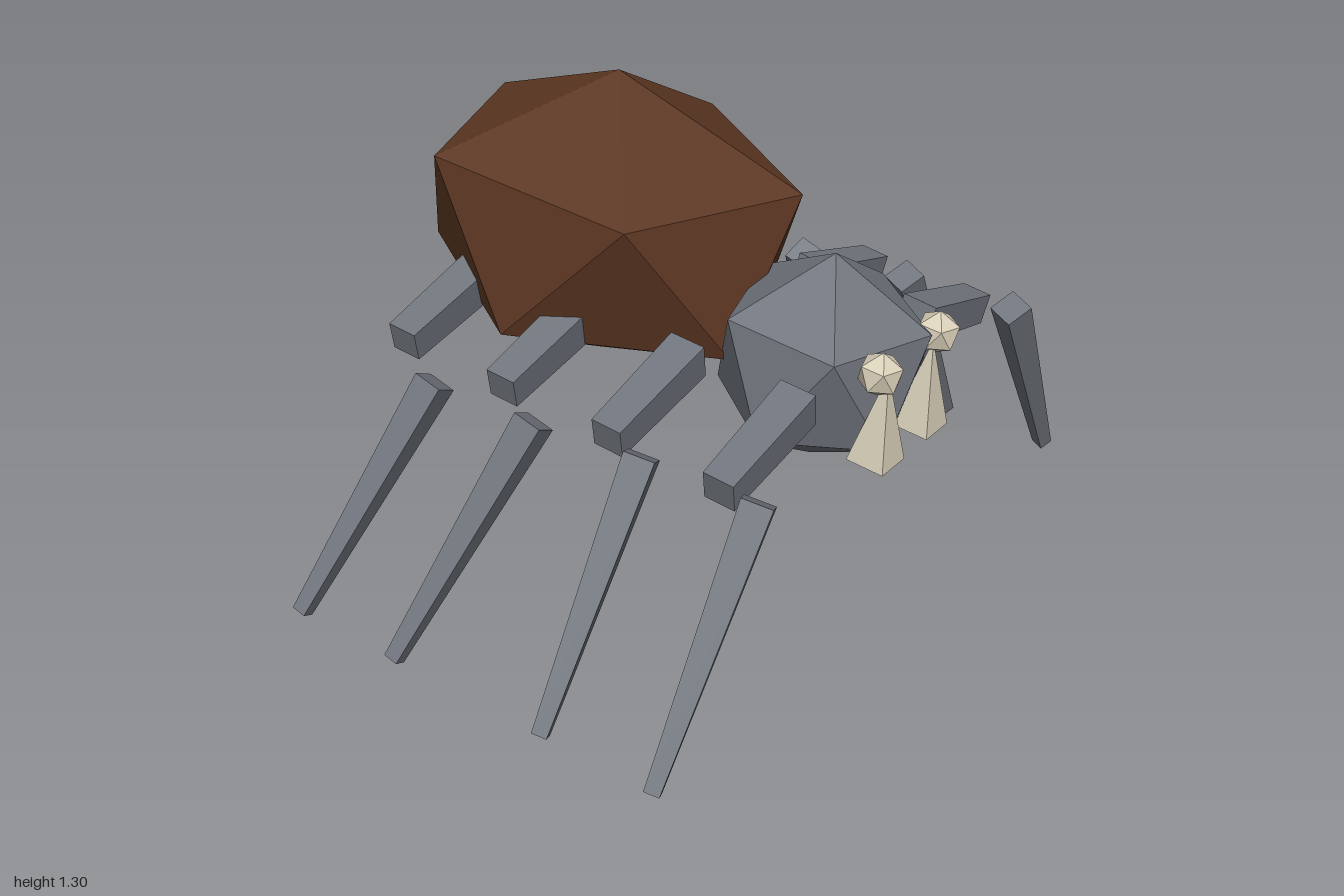
import * as THREE from 'three';
import { ConvexGeometry } from 'three/addons/geometries/ConvexGeometry.js';

const V = (x, y, z) => new THREE.Vector3(x, y, z);

function material(name, color) {
  const m = new THREE.MeshStandardMaterial({ color });
  m.name = name;
  return m;
}

// Twelve-point faceted ball standing on one point, stretched to the given radii
function facetedBall(rx, ry, rz) {
  const points = [V(0, ry, 0), V(0, -ry, 0)];
  const h = 1 / Math.sqrt(5), r = 2 * h;
  for (let i = 0; i < 5; i++) {
    const a = (i * Math.PI * 2) / 5;
    const p = V(Math.cos(a) * r * rx, h * ry, Math.sin(a) * r * rz);
    points.push(p, p.clone().negate());
  }
  return new ConvexGeometry(points);
}

// Square tapered bar with flat faces, wide end up
function taperedBar(topSide, bottomSide, length) {
  const k = Math.SQRT1_2;
  const g = new THREE.CylinderGeometry(topSide * k, bottomSide * k, length, 4)
    .rotateY(Math.PI / 4).toNonIndexed();
  g.computeVertexNormals();
  return g;
}

export function createModel() {
  const root = new THREE.Group();
  root.name = 'spider';
  const brown = material('abdomenBrown', 0x5c3622);
  const grey = material('bodyGrey', 0x70757d);
  const cream = material('eyeCream', 0xd8cfb8);

  const add = (name, geometry, mat, x, y, z, tilt = 0) => {
    const mesh = new THREE.Mesh(geometry, mat);
    mesh.name = name;
    mesh.position.set(x, y, z);
    mesh.rotation.x = tilt;
    root.add(mesh);
    return mesh;
  };

  // Bar running from point a (wide) to point b, rolled about its own axis
  const addBar = (name, a, b, sideA, sideB, roll) => {
    const mid = a.clone().add(b).multiplyScalar(0.5);
    const mesh = add(name, taperedBar(sideA, sideB, a.distanceTo(b)), grey, mid.x, mid.y, mid.z);
    const yAxis = a.clone().sub(b).normalize();
    const zAxis = V(0, 0, 1).addScaledVector(yAxis, -yAxis.z).normalize();
    const xAxis = yAxis.clone().cross(zAxis);
    mesh.quaternion.setFromRotationMatrix(new THREE.Matrix4().makeBasis(xAxis, yAxis, zAxis));
    mesh.rotateY(roll);
  };

  // Body
  add('abdomen', facetedBall(0.495, 0.42, 0.6), brown, 0, 0.881, -0.235, 0.083);
  add('head', facetedBall(0.3, 0.3, 0.3), grey, 0, 0.667, 0.45, 0.1);

  // Legs, front to back: z of thigh, height of thigh, z of knee, z of foot, knee height, shin roll
  const legs = [
    [0.56, 0.607, 0.675, 0.645, 0.62, 0.43],
    [0.23, 0.632, 0.338, 0.308, 0.62, 0.43],
    [-0.105, 0.657, 0.0, -0.178, 0.595, 0.2],
    [-0.44, 0.682, -0.335, -0.513, 0.595, 0.2],
  ];

  for (const s of [1, -1]) {
    const side = s > 0 ? 'left' : 'right';

    // Eye and fang
    add(side + 'Eye', facetedBall(0.06, 0.06, 0.06), cream, s * 0.138, 0.758, 0.703, 0.1);
    add(side + 'Fang', taperedBar(0.001, 0.106, 0.25), cream, s * 0.108, 0.622, 0.697, 0.1);

    legs.forEach(([thighZ, thighY, kneeZ, footZ, kneeY, roll], i) => {
      addBar(`${side}Thigh${i + 1}`, V(s * 0.276, thighY + 0.088, thighZ),
        V(s * 0.604, thighY, thighZ), 0.1, 0.085, -s * 0.13);
      addBar(`${side}Shin${i + 1}`, V(s * 0.608, kneeY + 0.005, kneeZ),
        V(s * 0.972, 0.015, footZ), 0.08, 0.04, -s * roll);
    });
  }
  return root;
}
